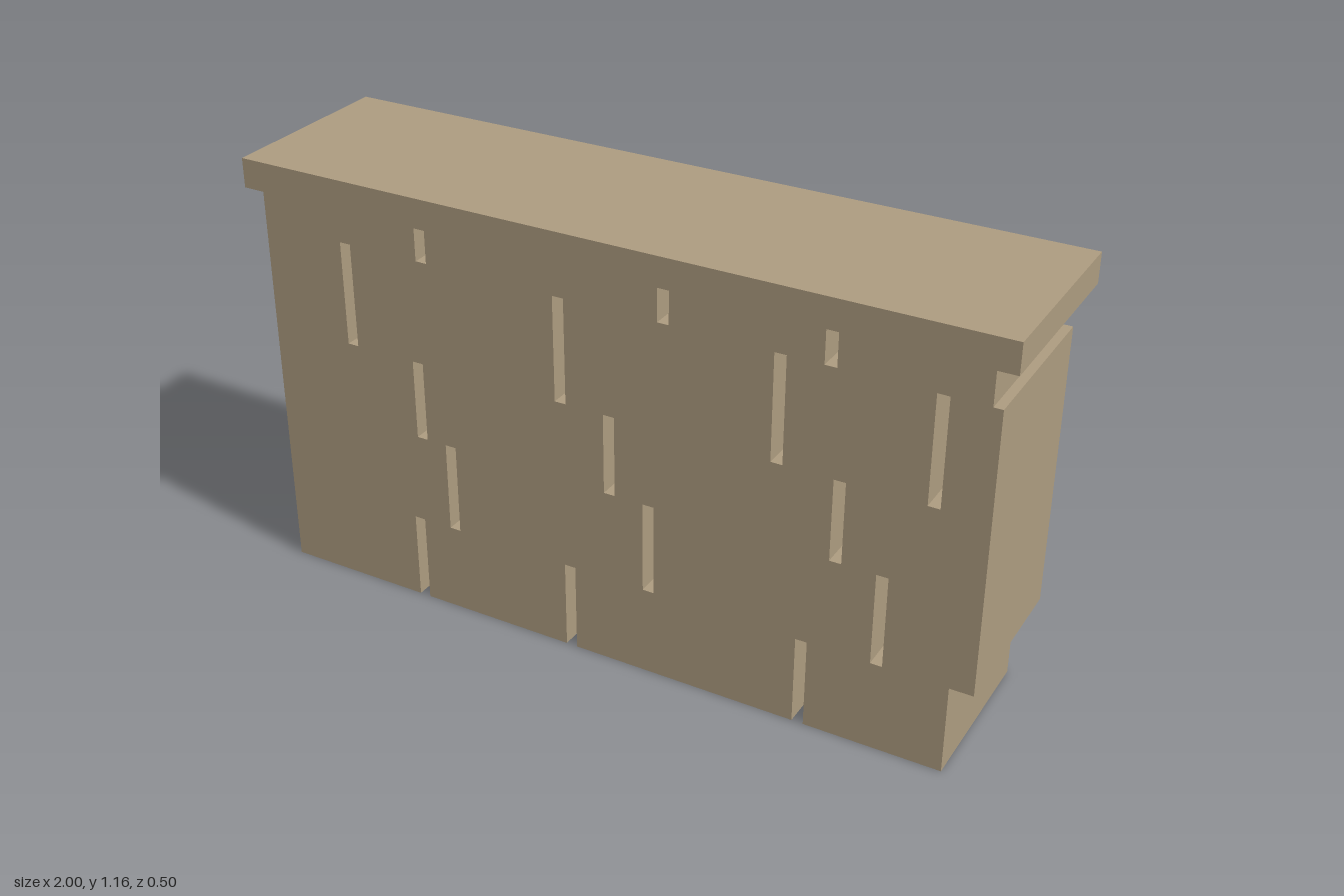
import * as THREE from 'three';

export function createModel() {
  const model = new THREE.Group();
  model.name = 'stoneWall';

  const stone = new THREE.MeshStandardMaterial({ color: 0xad9c80 });
  stone.name = 'sandstone';

  const LEFT = -0.97, DEPTH = 0.44, JOINT = 0.03;

  // Box given by its x and y limits, centred on z
  function block(name, x0, x1, y0, y1, depth, parent) {
    const mesh = new THREE.Mesh(new THREE.BoxGeometry(x1 - x0, y1 - y0, depth), stone);
    mesh.position.set((x0 + x1) / 2, (y0 + y1) / 2, 0);
    mesh.name = name;
    parent.add(mesh);
  }

  // Courses from the ground up: height limits, right end, centres of the open joints
  const courses = [
    { y0: 0, y1: 0.24, right: 0.905, joints: [-0.555, -0.1, 0.535] },
    { y0: 0.24, y1: 0.485, right: 0.965, joints: [-0.445, 0.123, 0.726] },
    { y0: 0.485, y1: 0.7, right: 0.965, joints: [-0.53, 0.016, 0.61] },
    { y0: 0.7, y1: 0.978, right: 0.965, joints: [-0.727, -0.117, 0.454, 0.833] },
    { y0: 0.978, y1: 1.08, right: 0.942, joints: [-0.501, 0.161, 0.574] },
  ];

  courses.forEach(({ y0, y1, right, joints }, i) => {
    const course = new THREE.Group();
    course.name = `course${i + 1}`;
    let start = LEFT;
    [...joints, right + JOINT / 2].forEach((joint, j) => {
      block(`stoneBlock${j + 1}`, start, joint - JOINT / 2, y0, y1, DEPTH, course);
      start = joint + JOINT / 2;
    });
    model.add(course);
  });

  // Overhanging capstone
  block('capstone', -1, 1, 1.08, 1.157, 0.5, model);

  return model;
}
